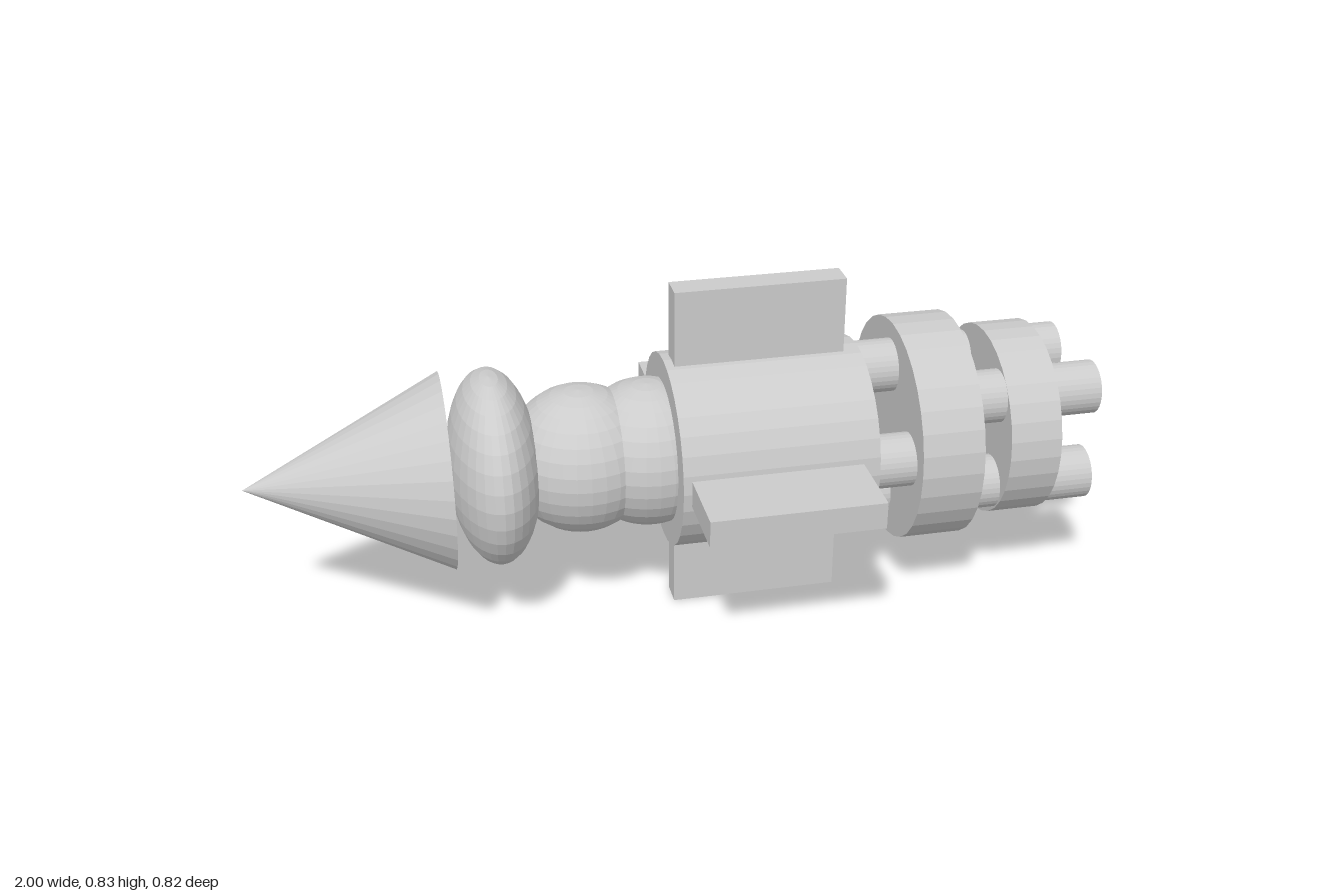
import * as THREE from 'three';

const AXIS_Y = 0.413;

export function createModel() {
  const model = new THREE.Group();
  const material = new THREE.MeshStandardMaterial({ color: 0xcccccc, flatShading: true });

  function add(name, geometry, x, y = 0, z = 0) {
    const mesh = new THREE.Mesh(geometry, material);
    mesh.name = name;
    mesh.position.set(x, AXIS_Y + y, z);
    model.add(mesh);
    return mesh;
  }

  // Cylinder running along x from x0 to x1
  function barrel(name, x0, x1, radius, y = 0, z = 0) {
    const geometry = new THREE.CylinderGeometry(radius, radius, x1 - x0, 32).rotateZ(-Math.PI / 2);
    return add(name, geometry, (x0 + x1) / 2, y, z);
  }

  // Pointed nose
  add('noseCone', new THREE.ConeGeometry(0.232, 0.465, 32).rotateZ(Math.PI / 2), -0.7675);

  // Rounded neck: a flattened bulb and two overlapping balls
  add('neckBulb', new THREE.SphereGeometry(0.232, 32, 16).scale(0.466, 1, 1), -0.426);
  for (const x of [-0.22, -0.06]) {
    add('neckBall', new THREE.SphereGeometry(0.177, 32, 16), x);
  }

  // Main body and the two tail discs
  barrel('body', -0.02, 0.445, 0.232);
  barrel('largeDisc', 0.535, 0.685, 0.272);
  barrel('smallDisc', 0.765, 0.89, 0.233);

  // Crossed fin plates passing through the body
  add('verticalFins', new THREE.BoxGeometry(0.405, 0.826, 0.065), 0.2025);
  add('horizontalFins', new THREE.BoxGeometry(0.405, 0.065, 0.82), 0.2025);

  // Struts between the body and the large disc, in a plus pattern
  for (const [y, z] of [[0.167, 0], [-0.167, 0], [0, 0.167], [0, -0.167]]) {
    barrel('strut', 0.43, 0.55, 0.064, y, z);
  }

  // Exhaust tubes through the small disc, slightly twisted about the axis
  for (const [y, z] of [[0.119, 0.119], [0.112, -0.121], [-0.109, 0.124], [-0.116, -0.116]]) {
    barrel('exhaustTube', 0.67, 1, 0.064, y, z);
  }

  return model;
}
